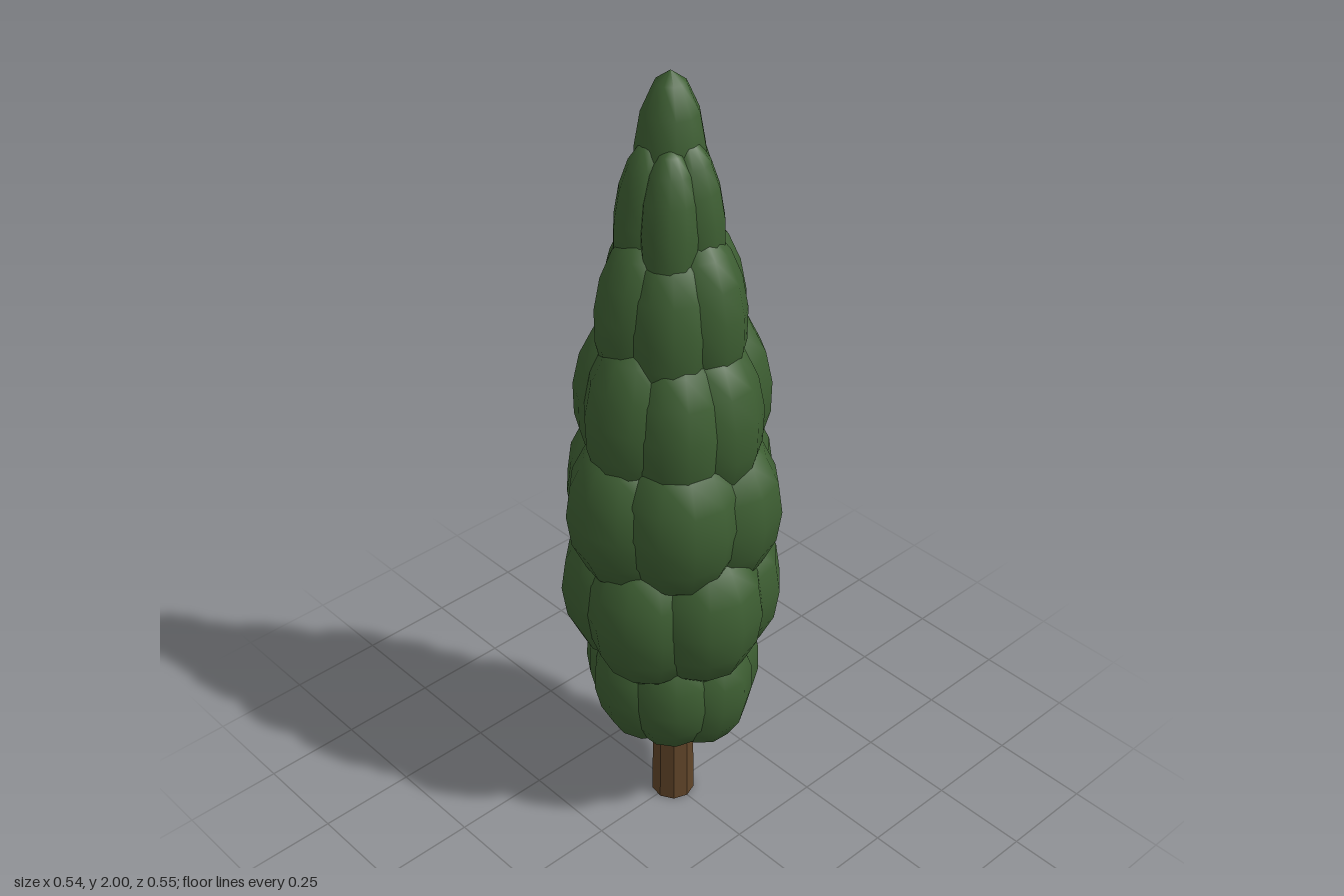
import * as THREE from 'three';

const foliageGreen = new THREE.MeshStandardMaterial({ name: 'foliageGreen', color: 0x3d5e32 });
const barkBrown = new THREE.MeshStandardMaterial({ name: 'barkBrown', color: 0x604529, flatShading: true });

// Rings of foliage clumps: centre height, outer radius, clump half-width,
// half-height, number of clumps, angle of first clump in degrees (0 = front)
const RINGS = [
  [0.42, 0.222, 0.125, 0.185, 7, 8],
  [0.69, 0.272, 0.155, 0.215, 6, -9],
  [0.96, 0.270, 0.150, 0.215, 6, 24],
  [1.22, 0.232, 0.120, 0.215, 7, 12],
  [1.46, 0.178, 0.100, 0.205, 6, 14],
  [1.68, 0.124, 0.068, 0.185, 5, 22],
];

// Small repeatable variation in the range -1..1
function makeVariation(seed) {
  return () => {
    seed = (seed * 16807) % 2147483647;
    return (seed / 2147483647) * 2 - 1;
  };
}

export function createModel() {
  const tree = new THREE.Group();
  tree.name = 'cypressTree';
  const vary = makeVariation(4217);
  const clumpShape = new THREE.SphereGeometry(1, 11, 8);

  // Trunk
  const trunk = new THREE.Mesh(new THREE.CylinderGeometry(0.05, 0.055, 0.4, 9), barkBrown);
  trunk.name = 'trunk';
  trunk.position.y = 0.2;
  tree.add(trunk);

  // Inner core that fills the gaps between clumps
  const coreProfile = [[0, 0.27], [0.1, 0.3], [0.17, 0.45], [0.205, 0.7], [0.205, 0.98],
    [0.17, 1.22], [0.12, 1.46], [0.07, 1.7], [0, 1.9]];
  const core = new THREE.Mesh(
    new THREE.LatheGeometry(coreProfile.map(([r, y]) => new THREE.Vector2(r, y)), 14), foliageGreen);
  core.name = 'foliageCore';
  tree.add(core);

  // Overlapping clumps, ring by ring
  RINGS.forEach(([y, outer, width, height, count, start], level) => {
    const ring = new THREE.Group();
    ring.name = `foliageRing${level + 1}`;
    for (let i = 0; i < count; i++) {
      const angle = THREE.MathUtils.degToRad(start + (i * 360) / count + vary() * 3);
      const distance = outer - width + vary() * 0.007;
      const clump = new THREE.Mesh(clumpShape, foliageGreen);
      clump.name = 'foliageClump';
      clump.position.set(Math.sin(angle) * distance, y + vary() * 0.012, Math.cos(angle) * distance);
      clump.scale.set(width * (1 + vary() * 0.04), height, width);
      // Lean the top inward where the crown narrows
      clump.rotation.set(level > 2 ? -0.1 : level === 0 ? 0.1 : 0, angle, 0, 'YXZ');
      ring.add(clump);
    }
    tree.add(ring);
  });

  // Pointed crown tip
  const tipProfile = [[0, 1.62], [0.055, 1.67], [0.08, 1.75], [0.078, 1.83], [0.064, 1.91], [0.035, 1.975], [0, 2]];
  const tip = new THREE.Mesh(
    new THREE.LatheGeometry(tipProfile.map(([r, y]) => new THREE.Vector2(r, y)), 11), foliageGreen);
  tip.name = 'crownTip';
  tip.position.set(0.012, 0, -0.02);
  tree.add(tip);

  return tree;
}
